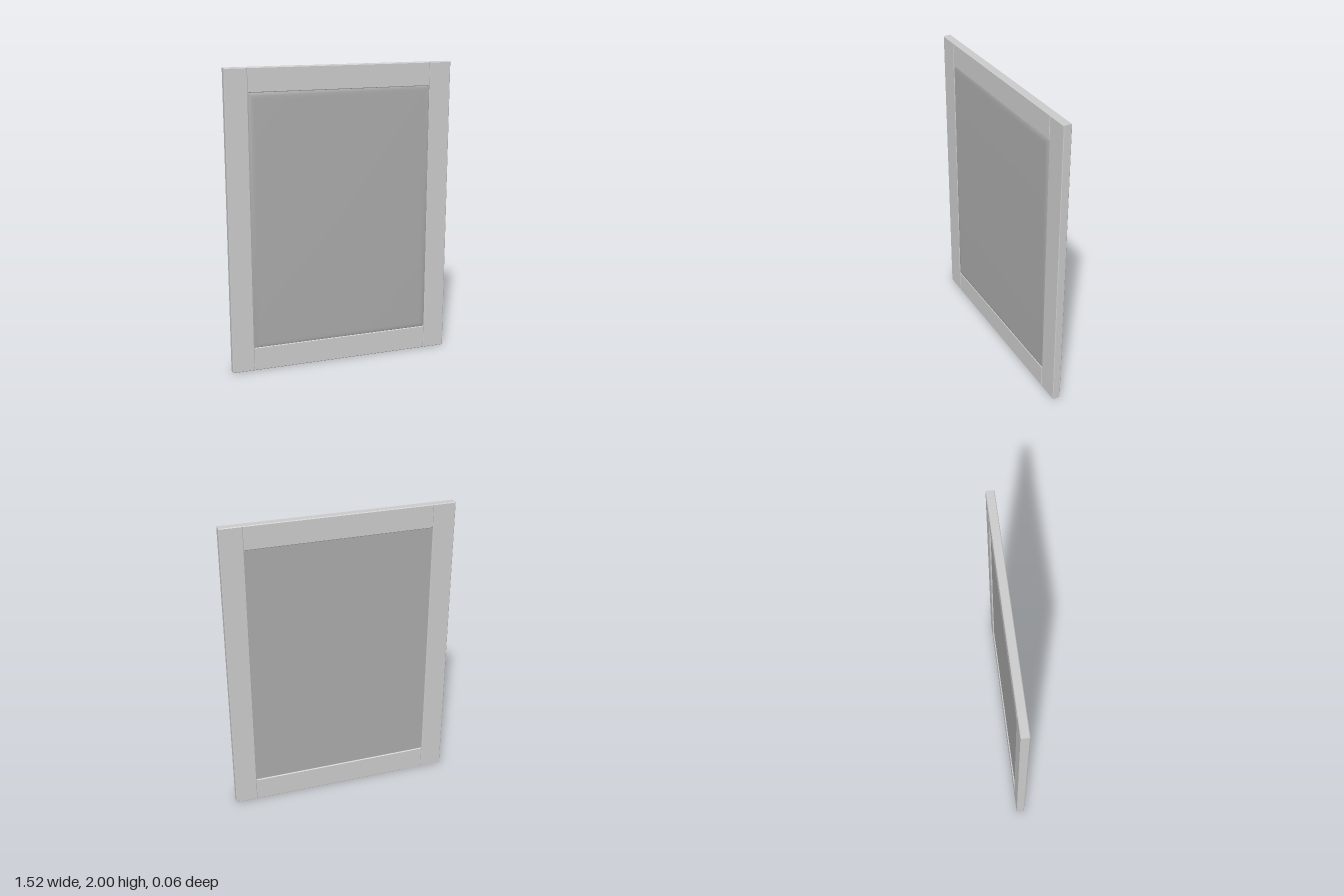
import * as THREE from 'three';
import { toCreasedNormals } from 'three/addons/utils/BufferGeometryUtils.js';

const BACK = -0.029, FRONT = 0.025, EASE = 0.004;

// Frame board with slightly eased edges, given by its outer limits
function board(name, x0, x1, y0, y1, material) {
  const w = (x1 - x0) / 2 - EASE, h = (y1 - y0) / 2 - EASE;
  const shape = new THREE.Shape([
    new THREE.Vector2(-w, -h), new THREE.Vector2(w, -h),
    new THREE.Vector2(w, h), new THREE.Vector2(-w, h),
  ]);
  const geometry = new THREE.ExtrudeGeometry(shape, {
    depth: FRONT - BACK - 2 * EASE,
    bevelEnabled: true, bevelSize: EASE, bevelThickness: EASE, bevelSegments: 1,
  });
  const mesh = new THREE.Mesh(geometry, material);
  mesh.name = name;
  mesh.position.set((x0 + x1) / 2, (y0 + y1) / 2, BACK + EASE);
  return mesh;
}

// Panel built from rectangular loops: flat back, straight edge, rounded raised front
function raisedPanel(halfW, halfH) {
  const loops = [[0, -0.021], [0, 0.017]];
  const steps = 6;
  for (let i = 1; i <= steps; i++) {
    const a = (i / steps) * Math.PI / 2;
    loops.push([0.045 * (1 - Math.cos(a)), 0.017 + 0.012 * Math.sin(a)]);
  }
  const positions = [], index = [];
  for (const [inset, z] of loops) {
    const x = halfW - inset, y = halfH - inset;
    positions.push(-x, -y, z, x, -y, z, x, y, z, -x, y, z);
  }
  for (let i = 0; i < loops.length - 1; i++) {
    for (let j = 0; j < 4; j++) {
      const a = i * 4 + j, b = i * 4 + (j + 1) % 4;
      index.push(a, b, b + 4, a, b + 4, a + 4);
    }
  }
  const t = (loops.length - 1) * 4;
  index.push(0, 2, 1, 0, 3, 2, t, t + 1, t + 2, t, t + 2, t + 3);
  const geometry = new THREE.BufferGeometry();
  geometry.setAttribute('position', new THREE.Float32BufferAttribute(positions, 3));
  geometry.setIndex(index);
  return toCreasedNormals(geometry, 0.6);
}

export function createModel() {
  const group = new THREE.Group();
  group.name = 'panelDoor';
  const frame = new THREE.MeshStandardMaterial({ color: 0xcccccc });
  const panelGrey = new THREE.MeshStandardMaterial({ color: 0xaaaaaa });

  // Full-height stiles with the rails set between them
  group.add(
    board('leftStile', 0.612, 0.76, 0, 2, frame),
    board('rightStile', -0.76, -0.612, 0, 2, frame),
    board('bottomRail', -0.612, 0.612, 0, 0.16, frame),
    board('topRail', -0.612, 0.612, 1.845, 2, frame),
  );

  // Raised centre panel, its edges tucked just into the frame
  const panel = new THREE.Mesh(raisedPanel(0.615, 0.8455), panelGrey);
  panel.name = 'raisedPanel';
  panel.position.y = 1.0025;
  group.add(panel);

  return group;
}
